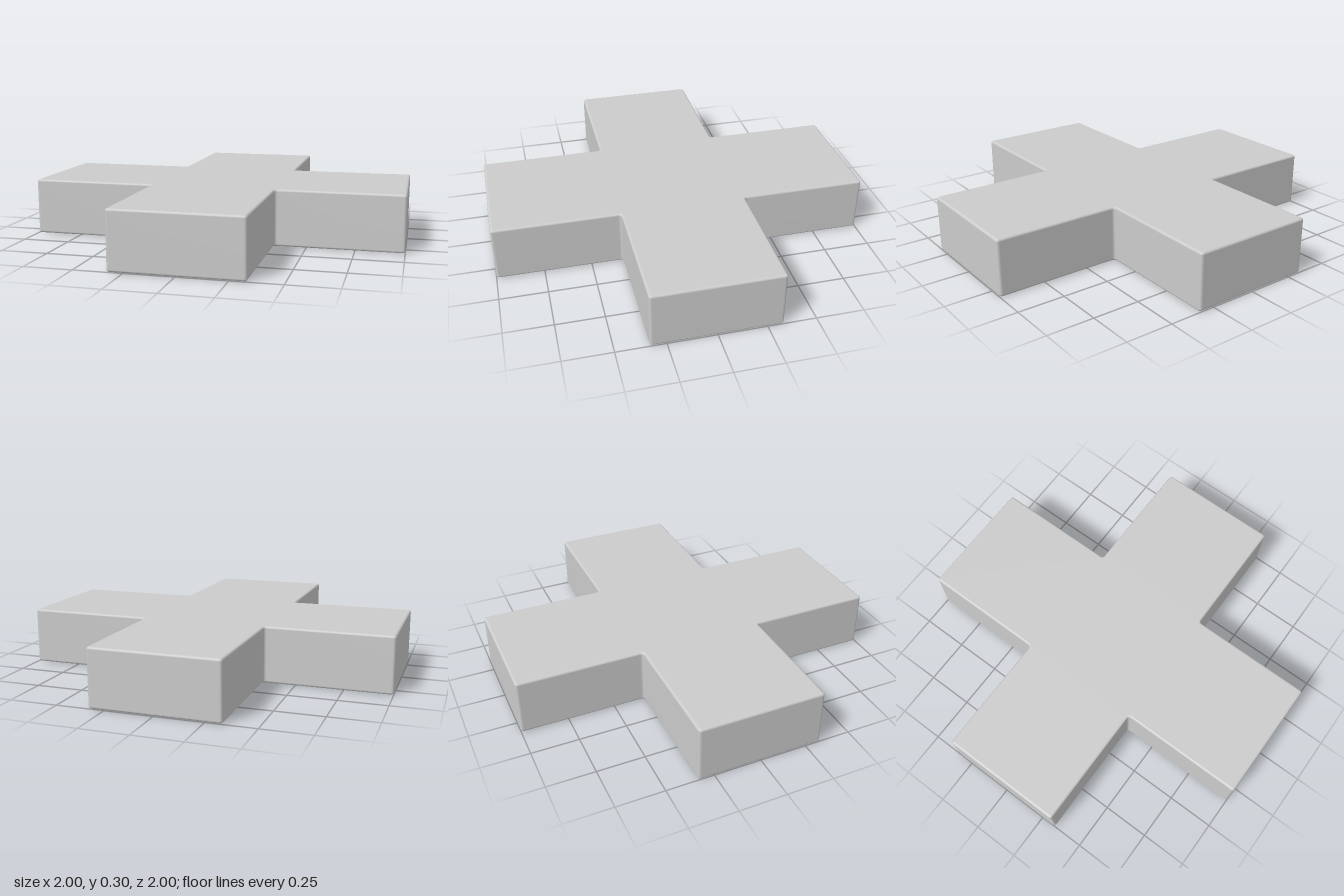
import * as THREE from 'three';
import { mergeVertices } from 'three/addons/utils/BufferGeometryUtils.js';

const ARM = 0.333, REACH = 1, HEIGHT = 0.3, BEVEL = 0.012, CORNER = 0.016;

// Plus-shaped outline, counter-clockwise, with slightly rounded corners
function plusShape() {
  const corners = [];
  for (let i = 0; i < 4; i++) {
    for (const [x, y] of [[REACH, -ARM], [REACH, ARM], [ARM, ARM]]) {
      corners.push(new THREE.Vector2(x, y).rotateAround(new THREE.Vector2(), i * Math.PI / 2));
    }
  }
  const n = corners.length;
  const towards = (a, b) => b.clone().sub(a).setLength(CORNER).add(a);
  const shape = new THREE.Shape();
  corners.forEach((p, i) => {
    const start = towards(p, corners[(i + n - 1) % n]);
    const end = towards(p, corners[(i + 1) % n]);
    if (i === 0) shape.moveTo(start.x, start.y);
    else shape.lineTo(start.x, start.y);
    shape.quadraticCurveTo(p.x, p.y, end.x, end.y);
  });
  shape.closePath();
  return shape;
}

export function createModel() {
  const group = new THREE.Group();
  group.name = 'plusBlock';

  // Slab with softly rounded edges
  let geometry = new THREE.ExtrudeGeometry(plusShape(), {
    depth: HEIGHT - 2 * BEVEL,
    bevelThickness: BEVEL,
    bevelSize: BEVEL,
    bevelOffset: -BEVEL,
    bevelSegments: 4,
    curveSegments: 4,
  });
  geometry.rotateX(-Math.PI / 2).translate(0, BEVEL, 0);

  // Shared vertices give area-weighted normals: flat faces, smooth edges
  geometry.deleteAttribute('uv');
  geometry.deleteAttribute('normal');
  geometry = mergeVertices(geometry, 1e-5);
  geometry.computeVertexNormals();

  const slab = new THREE.Mesh(geometry, new THREE.MeshStandardMaterial({ color: 0xcccccc }));
  slab.name = 'plusSlab';
  group.add(slab);
  return group;
}
